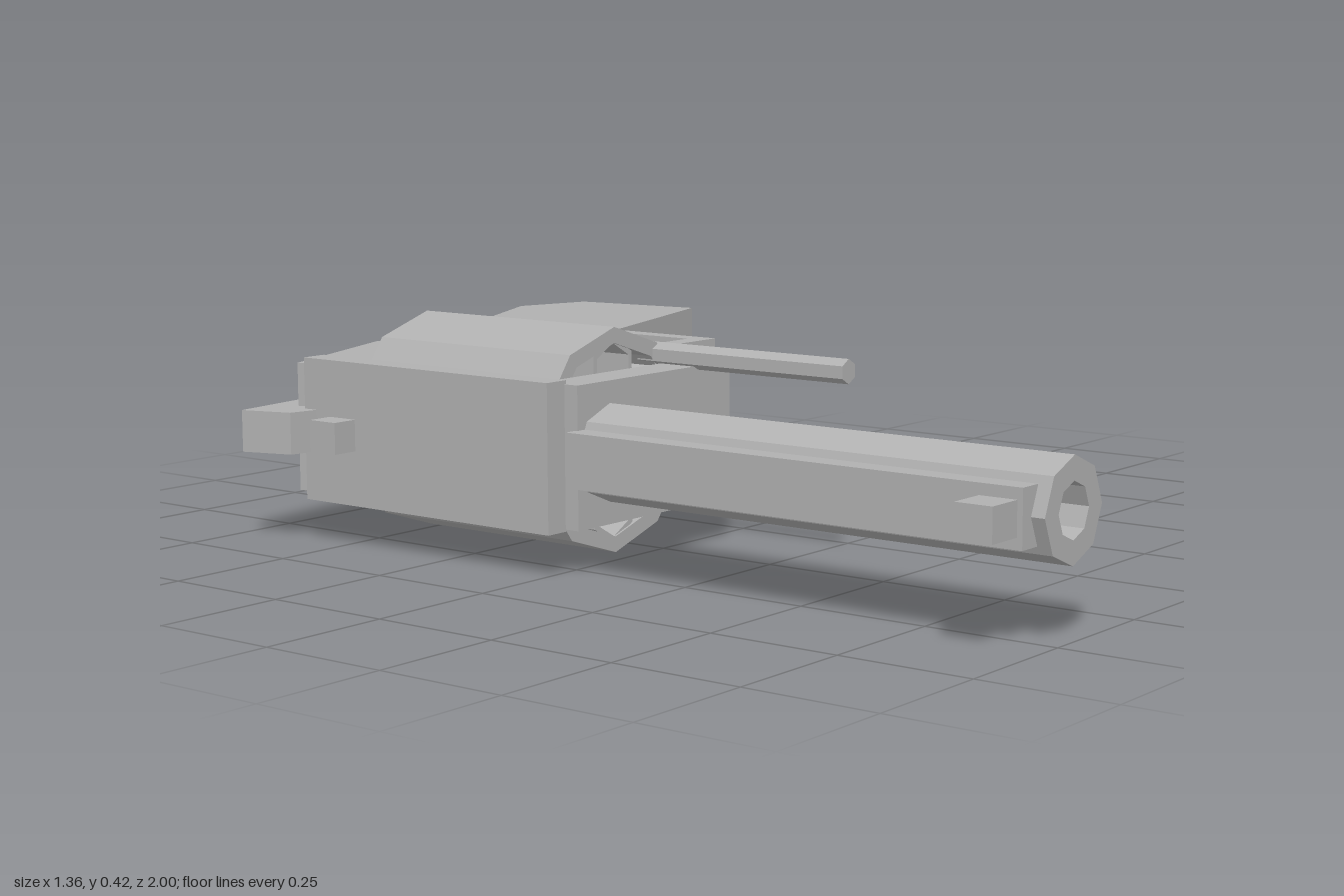
import * as THREE from 'three';

export function createModel() {
  const root = new THREE.Group();
  const steel = new THREE.MeshStandardMaterial({ color: 0xb0b0b0, flatShading: true });
  steel.name = 'grey steel';
  const CY = 0.213; // height of the bore axis, the piece lies on its side

  function add(name, geometry, parent = root) {
    const mesh = new THREE.Mesh(geometry, steel);
    mesh.name = name;
    parent.add(mesh);
    return mesh;
  }

  // Box given by its extents
  function box(name, x0, x1, y0, y1, z0, z1) {
    const g = new THREE.BoxGeometry(x1 - x0, y1 - y0, z1 - z0);
    g.translate((x0 + x1) / 2, (y0 + y1) / 2, (z0 + z1) / 2);
    return add(name, g);
  }

  // Flat plate: outline in plan as [x, z], between heights y0 and y1
  function plate(name, points, y0, y1) {
    const shape = new THREE.Shape(points.map(([x, z]) => new THREE.Vector2(x, -z)));
    const g = new THREE.ExtrudeGeometry(shape, { depth: y1 - y0, bevelEnabled: false });
    g.rotateX(-Math.PI / 2).translate(0, y0, 0);
    return add(name, g);
  }

  // Regular polygon with a corner at the top
  function ring(n, r) {
    return Array.from({ length: n }, (_, i) => {
      const a = Math.PI / 2 + (i * 2 * Math.PI) / n;
      return new THREE.Vector2(r * Math.cos(a), r * Math.sin(a));
    });
  }

  // Polygonal bar or tube along z
  function bar(name, n, r, hole, x, y, z0, z1, parent) {
    const shape = new THREE.Shape(ring(n, r));
    if (hole) shape.holes.push(new THREE.Path(ring(n, hole)));
    const g = new THREE.ExtrudeGeometry(shape, { depth: z1 - z0, bevelEnabled: false });
    g.translate(x, y, z0);
    return add(name, g, parent);
  }

  // Barrel with its rib and front sight
  bar('barrel', 8, 0.09, 0.048, -0.457, CY + 0.002, 0.04, 1);
  box('barrelRib', -0.572, -0.525, CY - 0.048, CY + 0.052, 0.04, 0.975);
  box('frontSight', -0.645, -0.565, 0.185, 0.245, 0.895, 0.965);

  // Frame around the drum
  box('topStrap', -0.593, -0.541, 0.08, 0.353, -0.598, 0.015);
  box('frameFront', -0.546, -0.11, 0.084, 0.346, -0.035, 0.045);
  box('frameBottom', -0.112, -0.07, 0.09, 0.34, -0.45, 0.02);
  box('rearSight', -0.645, -0.59, 0.185, 0.245, -0.53, -0.465);

  // Drum: hollow shell holding six open chambers around an axle
  const drum = new THREE.Group();
  drum.name = 'drum';
  root.add(drum);
  bar('drumShell', 10, 0.212, 0.182, -0.332, CY, -0.525, -0.048, drum);
  for (let i = 0; i < 6; i++) {
    const a = Math.PI / 2 + (i * Math.PI) / 3;
    bar('chamber', 6, 0.0635, 0.052, -0.332 + 0.13 * Math.cos(a), CY + 0.13 * Math.sin(a), -0.522, -0.052, drum);
  }
  bar('axle', 6, 0.04, 0, -0.332, CY, -0.52, -0.03, drum);

  // Ejector rod beside the drum
  bar('ejectorRod', 6, 0.023, 0, -0.2, 0.362, -0.085, 0.388);

  // Rear frame and grip
  plate('grip', [
    [-0.575, -0.635], [-0.23, -0.768], [-0.09, -0.732], [0.47, -1], [0.635, -0.95],
    [0.675, -0.658], [0.225, -0.51], [-0.07, -0.412], [-0.11, -0.412], [-0.12, -0.485],
    [-0.17, -0.495], [-0.495, -0.495], [-0.5, -0.458], [-0.541, -0.47],
  ], 0.091, 0.338);

  // Trigger and its guard
  plate('triggerGuard', [
    [-0.075, -0.245], [0.228, -0.245], [0.228, -0.515], [0.188, -0.52],
    [0.188, -0.287], [-0.075, -0.287],
  ], 0.091, 0.338);
  box('trigger', -0.08, 0.095, 0.175, 0.255, -0.41, -0.37);

  // Hammer
  plate('hammer', [
    [-0.68, -0.678], [-0.45, -0.707], [-0.45, -0.64], [-0.56, -0.56], [-0.65, -0.578],
  ], 0.175, 0.255);

  return root;
}
